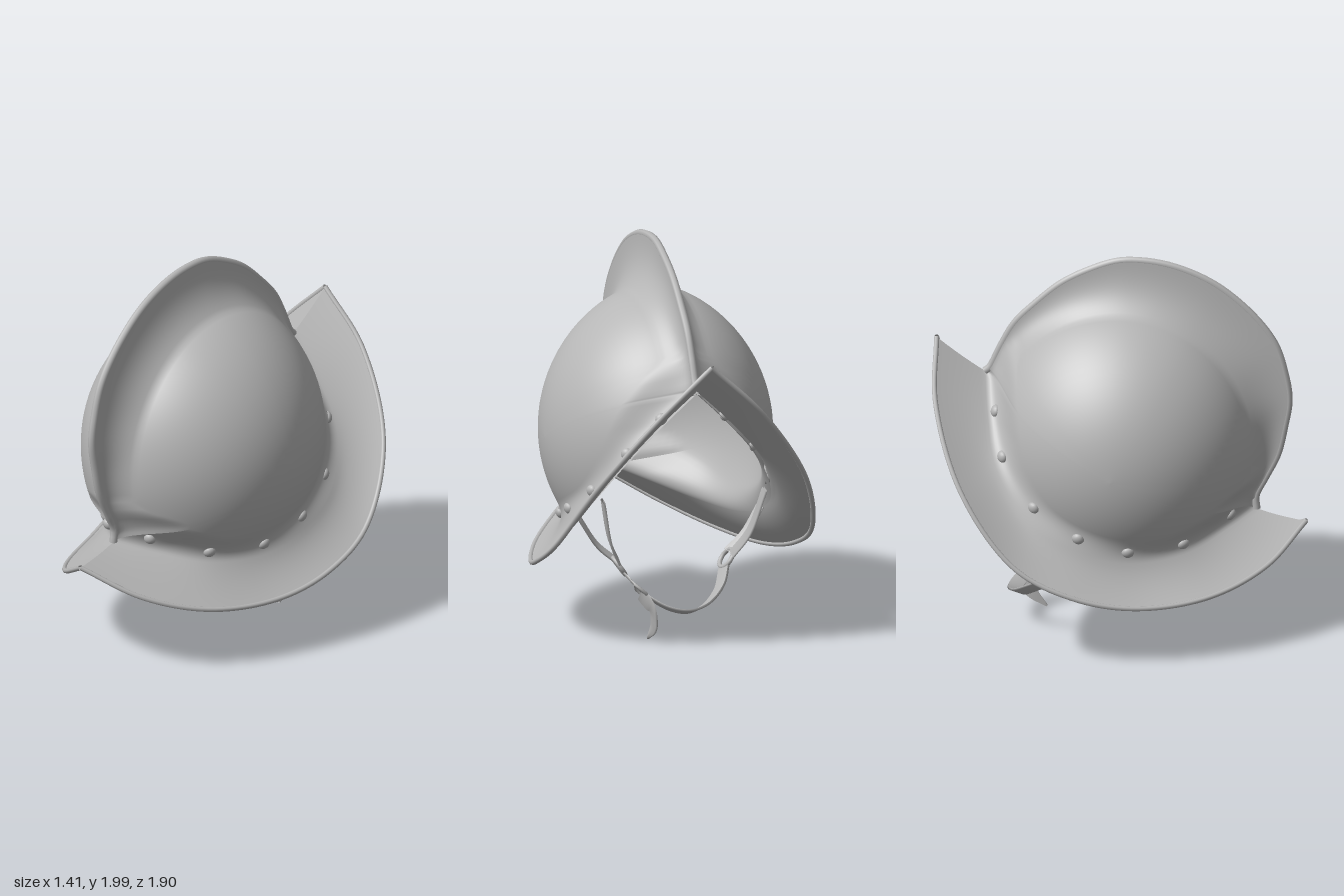
import * as THREE from 'three';

const steel = new THREE.MeshStandardMaterial({ color: 0xb6b6b6, side: THREE.DoubleSide });
steel.name = 'steel grey';

const V = (x, y, z) => new THREE.Vector3(x, y, z);
const curveOf = (pts) => new THREE.CatmullRomCurve3(pts.map((p) => V(...p)), false, 'centripetal');

function mesh(name, geometry) {
  const m = new THREE.Mesh(geometry, steel);
  m.name = name;
  return m;
}

// Smooth surface from a grid of points; keep() can leave cells out
function grid(nu, nv, point, keep = () => true) {
  const pos = [], idx = [];
  for (let i = 0; i <= nu; i++) for (let j = 0; j <= nv; j++) pos.push(...point(i, j).toArray());
  for (let i = 0; i < nu; i++) for (let j = 0; j < nv; j++) {
    if (!keep(i, j)) continue;
    const a = i * (nv + 1) + j, b = a + nv + 1;
    idx.push(a, a + 1, b, b, a + 1, b + 1);
  }
  const g = new THREE.BufferGeometry();
  g.setAttribute('position', new THREE.Float32BufferAttribute(pos, 3));
  g.setIndex(idx);
  g.computeVertexNormals();
  return g;
}

// Flat strap along a curve, facing away from a centre point
function ribbon(pts, width, centre, taper = 0, n = 24) {
  const c = curveOf(pts), half = 0.006;
  return grid(n, 4, (i, j) => {
    const t = i / n, p = c.getPoint(t);
    const out = p.clone().sub(centre).normalize();
    const side = c.getTangent(t).cross(out).normalize();
    const nrm = side.clone().cross(c.getTangent(t)).normalize();
    const w = (width / 2) * (1 - taper * Math.max(0, t - 0.6) / 0.4);
    const [s, h] = [[-1, -1], [1, -1], [1, 1], [-1, 1], [-1, -1]][j];
    return p.addScaledVector(side, s * w).addScaledVector(nrm, h * half);
  });
}

// Guide curves of the left half: crest line, bowl root and brim edge
const crest = curveOf([
  [0, 0.65, 0.69], [0, 0.72, 0.685], [0, 0.815, 0.73], [0, 0.95, 0.795], [0, 1.10, 0.83], [0, 1.25, 0.853],
  [0, 1.39, 0.833], [0, 1.548, 0.783], [0, 1.695, 0.677], [0, 1.835, 0.52], [0, 1.908, 0.393],
  [0, 1.962, 0.235], [0, 1.98, 0.09], [0, 1.972, -0.02], [0, 1.918, -0.165], [0, 1.843, -0.30],
  [0, 1.73, -0.43], [0, 1.62, -0.535], [0, 1.495, -0.605], [0, 1.37, -0.665], [0, 1.35, -0.69],
]);
const root = curveOf([
  [0, 0.65, 0.69], [0.14, 0.60, 0.57], [0.35, 0.53, 0.36], [0.485, 0.52, 0.08], [0.535, 0.59, -0.17],
  [0.505, 0.73, -0.42], [0.37, 0.97, -0.60], [0.18, 1.18, -0.66], [0, 1.35, -0.69],
]);
const rim = curveOf([
  [0, 0.59, 0.94], [0.26, 0.44, 0.76], [0.475, 0.347, 0.485], [0.62, 0.332, 0.13], [0.687, 0.402, -0.18],
  [0.68, 0.55, -0.475], [0.55, 0.89, -0.755], [0.27, 1.27, -0.915], [0, 1.525, -0.935],
]);

const N = 64, W = 0.59, CY = 1.0, BOWL = 32, BRIM = 10;
const { lerp, smoothstep } = THREE.MathUtils;
const dome = (q) => W * Math.max(0, 1 - q * q) ** 0.6;

// Rays from the bowl's side centre to the crest, then back along the root.
// comb runs from 0 at the notches and root to 1 where the comb stands free
const rays = [];
for (let i = 0; i <= 2 * N; i++) {
  const onCrest = i <= N;
  const t = onCrest ? i / N : 2 - i / N;
  const p = (onCrest ? crest : root).getPoint(t);
  const B = Math.hypot(p.z, p.y - CY), dz = p.z / B, dy = (p.y - CY) / B;
  const e = 1 / Math.hypot(dz / 0.70, dy / 0.74);
  const comb = onCrest ? smoothstep(Math.min(t, 1 - t), 0, 0.2) : 0;
  const knee = Math.min(0.965 * e, lerp(0.72, 0.97, comb) * B);
  rays.push({ onCrest, t, B, dz, dy, e, comb, knee, endX: onCrest ? 0.018 * Math.min(1, comb * 8) : p.x });
}

// Half width at distance r: round dome, then a fillet into the comb or the brim
function halfWidth({ B, e, comb, knee, endX }, r) {
  if (r <= knee) return dome(r / e);
  const x0 = dome(knee / e), h = B - knee, t = (r - knee) / h;
  const slope = (x0 - dome((knee - 0.005) / e)) / 0.005;
  const m0 = lerp(Math.max(slope, -1.5) * h, Math.max(slope * h, -2.5 * Math.abs(x0 - endX)), comb);
  const m1 = lerp(0.8 * endX, -0.05, comb) * h;
  const t2 = t * t, t3 = t2 * t;
  return x0 * (2 * t3 - 3 * t2 + 1) + m0 * (t3 - 2 * t2 + t) + endX * (3 * t2 - 2 * t3) + m1 * (t3 - t2);
}

// Bowl, comb side and, past the root, the flaring brim in one sheet
function shellPoint(i, j) {
  const ray = rays[i], { B, dz, dy, knee } = ray;
  if (j > BOWL) {
    const a = root.getPoint(ray.t), b = rim.getPoint(ray.t), s = (j - BOWL) / BRIM;
    const c = a.clone().lerp(b, 0.42);
    c.x *= 0.95;
    c.y -= 0.012;
    return a.multiplyScalar((1 - s) ** 2).addScaledVector(c, 2 * s * (1 - s)).addScaledVector(b, s * s);
  }
  const m = 18;
  const r = j <= m ? knee * Math.sin((j / m) * 1.42) / Math.sin(1.42) : knee + (B - knee) * (j - m) / (BOWL - m);
  return V(j === BOWL ? ray.endX : halfWidth(ray, r), CY + dy * r, dz * r);
}

// Inside of the bowl, closed under the comb
function liningPoint(i, j) {
  const ray = rays[i], { onCrest, B, dz, dy, e } = ray;
  const r = (onCrest ? Math.min(B, e) : B) * Math.sin((j / 30) * Math.PI / 2);
  const x = onCrest ? Math.min(dome(r / e), halfWidth(ray, r)) : halfWidth(ray, r);
  return V(Math.max(0, 0.98 * x - 0.015), CY + dy * r, dz * r);
}

function ring(name, radius, tube, at, facing, sides) {
  const m = mesh(name, new THREE.TorusGeometry(radius, tube, 8, sides));
  m.position.set(...at);
  m.lookAt(V(...at).add(facing));
  return m;
}

// Domed rivet head set on the bowl at a side position
const rivetHead = new THREE.SphereGeometry(0.032, 16, 6, 0, Math.PI * 2, 0, Math.PI / 2).rotateX(Math.PI / 2);
function rivet(y, z) {
  const r = Math.hypot(z, y - CY);
  const off = (ray) => Math.hypot(ray.dz - z / r, ray.dy - (y - CY) / r);
  const ray = rays.filter((a) => !a.onCrest).reduce((a, b) => (off(b) < off(a) ? b : a));
  const x = halfWidth(ray, r);
  const m = mesh('rivet', rivetHead);
  m.scale.z = 0.75;
  m.position.set(x, y, z);
  m.lookAt(V(x, y, z).add(V(x / 0.35, (y - CY) / 0.55, z / 0.49)));
  return m;
}

export function createModel() {
  const model = new THREE.Group();
  model.name = 'combHelmet';

  const half = new THREE.Group();
  half.name = 'leftHalf';
  half.add(
    mesh('bowlAndBrim', grid(2 * N, BOWL + BRIM, shellPoint, (i, j) => i >= N || j < BOWL)),
    mesh('bowlLining', grid(2 * N, 30, liningPoint)),
    mesh('rolledBrimEdge', new THREE.TubeGeometry(rim, 80, 0.013, 8)),
  );

  // Rivets around the foot of the bowl
  for (const [y, z] of [[0.67, 0.57], [0.585, 0.35], [0.58, 0.08], [0.66, -0.17], [0.80, -0.40], [1.02, -0.57],
    [1.20, -0.62]]) half.add(rivet(y, z));

  // Forked side straps meeting at a ring
  const head = V(0, 0.5, -0.4);
  half.add(
    mesh('frontForkStrap', ribbon([[0.30, 0.40, -0.26], [0.39, 0.48, -0.25], [0.48, 0.62, -0.24]], 0.05, head)),
    mesh('backForkStrap', ribbon([[0.30, 0.40, -0.33], [0.37, 0.53, -0.40], [0.43, 0.76, -0.47]], 0.05, head)),
    ring('strapRing', 0.052, 0.012, [0.285, 0.37, -0.285], V(1, -0.7, 0.1), 20),
  );

  const otherHalf = half.clone();
  otherHalf.name = 'rightHalf';
  otherHalf.scale.x = -1;
  model.add(half, otherHalf);

  // Rolled edge of the comb
  model.add(mesh('rolledCombEdge', new THREE.TubeGeometry(crest, 100, 0.02, 8)));

  // Chin strap with buckle and hanging end
  const chin = [[0.265, 0.335, -0.31], [0.2, 0.255, -0.43], [0.1, 0.19, -0.51], [0, 0.17, -0.54]];
  const chinRight = chin.slice(0, 3).reverse().map(([x, y, z]) => [-x, y, z]);
  model.add(
    mesh('chinStrap', ribbon([...chin, ...chinRight], 0.07, head, 0, 40)),
    ring('buckle', 0.055, 0.008, [0.215, 0.265, -0.435], V(1, -0.9, -0.2), 4),
    mesh('strapEnd', ribbon([[0.215, 0.25, -0.43], [0.175, 0.18, -0.495], [0.16, 0.09, -0.47], [0.165, 0.01, -0.39]],
      0.08, V(-0.8, 0.15, -0.45), 0.9)),
  );
  return model;
}
